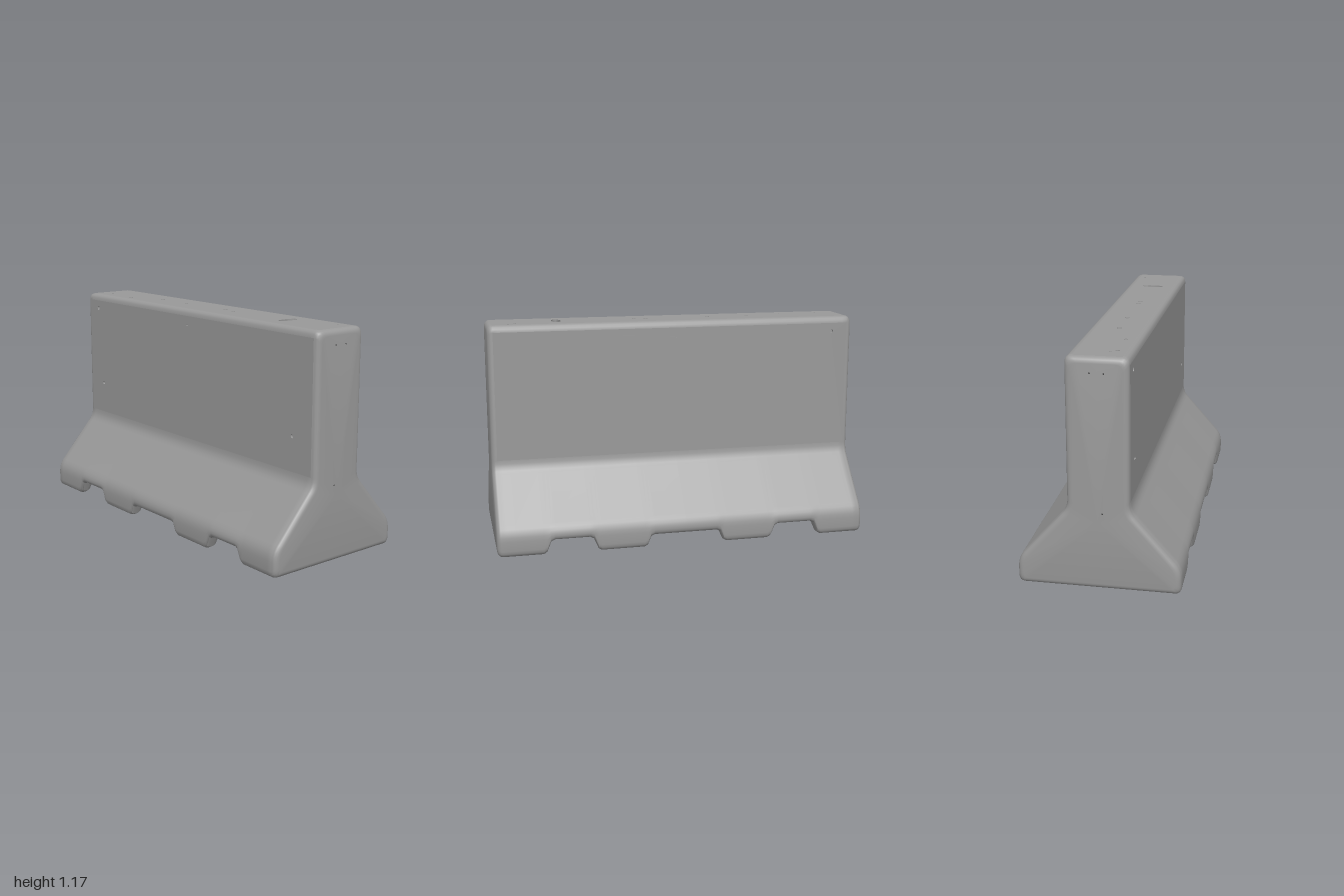
import * as THREE from 'three';
import { toCreasedNormals } from 'three/addons/utils/BufferGeometryUtils.js';

const TOP = 1.17, WALL = 0.153, FOOT = 0.405, BEND = 0.415, SHOULDER = 0.13;
const R_TOP = 0.035, R_BEND = 0.04, R_END = 0.03, STEPS = 4;

// Replace each inner corner [z, y, r] of a polyline by a small curve
function roundCorners(corners) {
  const pts = corners.map(c => new THREE.Vector2(c[0], c[1]));
  const out = [pts[0]];
  for (let i = 1; i < pts.length - 1; i++) {
    const p = pts[i];
    const toward = q => {
      const len = p.distanceTo(q);
      const t = Math.min(corners[i][2], len * 0.49);
      return p.clone().lerp(q, len > 0 ? t / len : 0);
    };
    const curve = new THREE.QuadraticBezierCurve(toward(pts[i - 1]), p, toward(pts[i + 1]));
    out.push(...curve.getPoints(STEPS));
  }
  out.push(pts[pts.length - 1]);
  return out;
}

// Closed cross-section: d = inset, h = rim underside, f = recessed floor height
function section(d, h, f) {
  const half = roundCorners([
    [0, TOP - d],
    [WALL - d, TOP - d, R_TOP],
    [WALL - d, BEND - 0.377 * d, R_BEND],
    [FOOT - d, SHOULDER - 0.377 * d, 0.045],
    [FOOT - d, h + d, 0.035],
    [0.34, h + d, 0.02],
    [0.32, f + d, 0.01],
    [0, f + d],
  ]);
  const mirrored = half.slice(1, -1).reverse().map(p => new THREE.Vector2(-p.x, p.y));
  return [...half, ...mirrored];
}

// Stations along +x: [x, rim underside, floor height, inset]
function stations() {
  const F = 0.075;
  const list = [
    [0, 0.065], [0.17, 0.065], [0.19, 0.055], [0.208, 0.01], [0.225, 0],
    [0.455, 0], [0.472, 0.01], [0.495, 0.065], [0.515, 0.077],
    [0.7, 0.077], [0.72, 0.067], [0.742, 0.012], [0.76, 0], [0.905, 0],
  ].map(([x, h]) => [x, h, F, 0]);
  list.push([0.93, 0, 0.012, 0], [0.945, 0, 0, 0]);
  for (let i = 0; i <= 5; i++) {
    const a = (i / 5) * Math.PI / 2;
    list.push([1 - R_END + R_END * Math.sin(a), 0, 0, R_END * (1 - Math.cos(a))]);
  }
  return [...list.slice(1).reverse().map(([x, ...rest]) => [-x, ...rest]), ...list];
}

// Body shell lofted along x; the flat top and walls are left open for panels
function bodyGeometry() {
  const rows = stations();
  const pos = [], index = [];
  for (const [x, h, f, d] of rows) {
    for (const p of section(d, h, f)) pos.push(x, p.y, p.x);
  }
  const m = pos.length / 3 / rows.length;
  const open = [0, STEPS + 1, m - 1, m - 2 - STEPS];
  const limit = 1 - R_END + 1e-6;
  for (let i = 0; i < rows.length - 1; i++) {
    const flat = Math.abs(rows[i][0]) <= limit && Math.abs(rows[i + 1][0]) <= limit;
    for (let j = 0; j < m; j++) {
      if (flat && open.includes(j)) continue;
      const k = (j + 1) % m;
      const a = i * m + j, b = i * m + k, c = a + m, e = b + m;
      index.push(a, b, c, b, e, c);
    }
  }
  // End faces
  const left = pos.length / 3;
  pos.push(-1, 0.35, 0, 1, 0.35, 0);
  const last = (rows.length - 1) * m;
  for (let j = 0; j < m; j++) {
    const k = (j + 1) % m;
    index.push(left, k, j, left + 1, last + j, last + k);
  }
  const geo = new THREE.BufferGeometry();
  geo.setAttribute('position', new THREE.Float32BufferAttribute(pos, 3));
  geo.setIndex(index);
  return toCreasedNormals(geo, 0.6);
}

// Flat panel facing +z, with shallow pockets at [x, y, rx, ry]
function panel(name, y0, y1, holes, material) {
  const group = new THREE.Group();
  group.name = name;
  const w = 1 - R_END;
  const shape = new THREE.Shape([[-w, y0], [w, y0], [w, y1], [-w, y1]].map(p => new THREE.Vector2(...p)));
  for (const [x, y, rx, ry = rx] of holes) {
    const path = new THREE.Path();
    path.absellipse(x, y, rx, ry, 0, Math.PI * 2, true);
    shape.holes.push(path);
    const depth = Math.max(rx, ry);
    const profile = [[1, 0], [1, -depth], [0, -depth]].map(p => new THREE.Vector2(...p));
    const geo = new THREE.LatheGeometry(profile, 24).rotateX(Math.PI / 2).scale(rx, ry, 1);
    const pocket = new THREE.Mesh(toCreasedNormals(geo, 0.6), material);
    pocket.name = 'pocket';
    pocket.position.set(x, y, 0);
    group.add(pocket);
  }
  const face = new THREE.Mesh(new THREE.ShapeGeometry(shape, 12), material);
  face.name = name + 'Face';
  group.add(face);
  return group;
}

export function createModel() {
  const model = new THREE.Group();
  model.name = 'concreteBarrier';
  const concrete = new THREE.MeshStandardMaterial({ color: 0x999999 });
  concrete.name = 'concrete grey';
  const dark = new THREE.MeshStandardMaterial({ color: 0x444444 });
  dark.name = 'pinhole grey';

  const body = new THREE.Mesh(bodyGeometry(), concrete);
  body.name = 'body';
  model.add(body);

  // Top with the lifting slot and air holes
  const top = panel('top', -(WALL - R_TOP), WALL - R_TOP, [
    [0.625, 0, 0.025, 0.06], [-0.435, 0, 0.012], [-0.21, 0, 0.012], [0.135, 0, 0.011], [0.2, 0, 0.011],
    [-0.65, -0.075, 0.01], [-0.865, -0.075, 0.01], [-0.89, -0.045, 0.006],
    [0.85, 0.08, 0.007], [0.885, 0.09, 0.006],
  ], concrete);
  top.rotation.x = -Math.PI / 2;
  top.position.y = TOP;

  // Upright walls
  const y0 = BEND + R_BEND, y1 = TOP - R_TOP;
  const front = panel('frontWall', y0, y1, [
    [-0.885, 1.09, 0.012], [-0.845, 0.635, 0.01], [0.835, 0.635, 0.01], [-0.005, 1.085, 0.005],
  ], concrete);
  front.position.z = WALL;
  const back = panel('backWall', y0, y1, [[0.88, 1.09, 0.012], [0, 1.085, 0.005]], concrete);
  back.rotation.y = Math.PI;
  back.position.z = -WALL;
  model.add(top, front, back);

  // Pinholes in both ends
  for (const side of [-1, 1]) {
    for (const [z, y] of [[0.035, 1.095], [-0.032, 1.095], [0.022, 0.4]]) {
      const hole = new THREE.Mesh(new THREE.CircleGeometry(0.004, 10), dark);
      hole.name = 'endPinhole';
      hole.rotation.y = side * Math.PI / 2;
      hole.position.set(side * 1.001, y, z);
      model.add(hole);
    }
  }
  return model;
}
